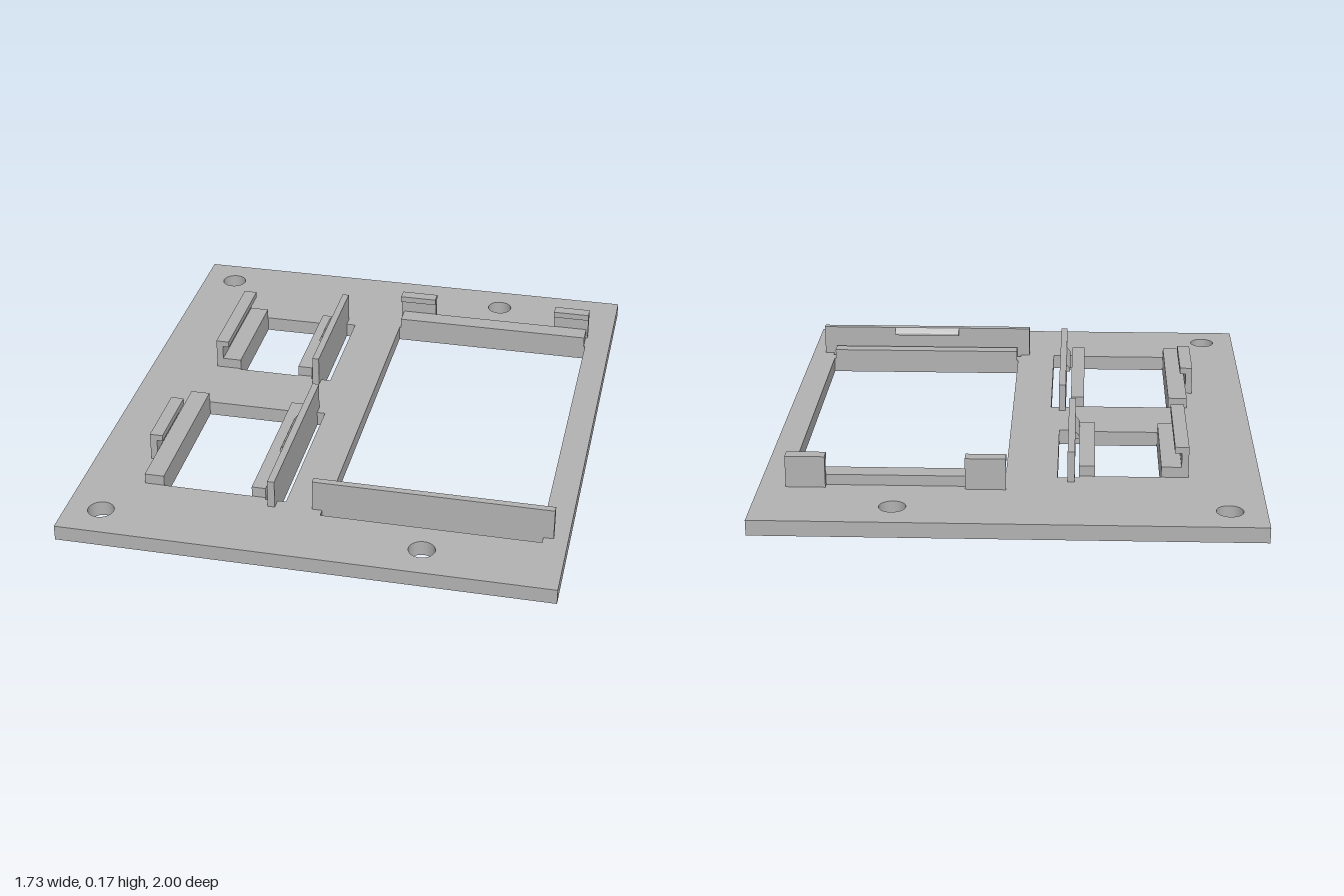
import * as THREE from 'three';

const T = 0.055; // plate thickness

export function createModel() {
  const group = new THREE.Group();
  const grey = new THREE.MeshStandardMaterial({ color: 0xb2b2b2 });
  grey.name = 'grey plastic';

  const add = (name, geometry) => {
    const mesh = new THREE.Mesh(geometry, grey);
    mesh.name = name;
    group.add(mesh);
  };
  const box = (name, x0, x1, y0, y1, z0, z1) =>
    add(name, new THREE.BoxGeometry(x1 - x0, y1 - y0, z1 - z0)
      .translate((x0 + x1) / 2, (y0 + y1) / 2, (z0 + z1) / 2));

  // Profile of [u, y] points swept from a to b; u runs along x, or along z when alongX is set
  const sweep = (name, points, a, b, alongX) => {
    const shape = new THREE.Shape(points.map(([u, y]) => new THREE.Vector2(u, y)));
    const g = new THREE.ExtrudeGeometry(shape, { depth: b - a, bevelEnabled: false });
    if (alongX) g.rotateY(-Math.PI / 2).translate(b, 0, 0);
    else g.translate(0, 0, a);
    add(name, g);
  };

  // Fixed hook: upright stem with a lip reaching towards the window
  const hook = (name, u0, u1, top, a, b, alongX) => sweep(name, [
    [u0, T], [u0 + 0.025, T], [u0 + 0.025, top - 0.023], [u1, top - 0.023], [u1, top], [u0, top],
  ], a, b, alongX);

  // Latch: wedge near the top of a spring wall
  const latch = (name, wall, reach, top, a, b, alongX) => sweep(name, [
    [wall - reach, top - 0.028], [wall, top - 0.028], [wall, top],
    [wall - reach * 0.75, top - 0.012], [wall - reach, top - 0.02],
  ], a, b, alongX);

  // Base plate with windows, spring slots and screw holes
  const plate = new THREE.Shape([
    new THREE.Vector2(-0.865, -1), new THREE.Vector2(0.865, -1),
    new THREE.Vector2(0.865, 1), new THREE.Vector2(-0.865, 1),
  ]);
  const openings = [ // x0, x1, z0, z1
    [0.02, 0.77, -0.62, 0.62], [0.01, 0.78, 0.67, 0.745],
    [-0.57, -0.25, 0.1, 0.68], [-0.2, -0.125, 0.09, 0.69],
    [-0.52, -0.29, -0.585, -0.16], [-0.235, -0.16, -0.6, -0.15],
  ];
  for (const [x0, x1, z0, z1] of openings) {
    plate.holes.push(new THREE.Path([
      new THREE.Vector2(x0, -z0), new THREE.Vector2(x1, -z0),
      new THREE.Vector2(x1, -z1), new THREE.Vector2(x0, -z1),
    ]));
  }
  for (const x of [-0.74, 0.39]) {
    for (const z of [-0.87, 0.87]) {
      plate.holes.push(new THREE.Path().absarc(x, z, 0.046, 0, Math.PI * 2, true));
    }
  }
  add('basePlate', new THREE.ExtrudeGeometry(plate, { depth: T, bevelEnabled: false, curveSegments: 24 })
    .rotateX(-Math.PI / 2));

  // Large window: ledges, two hooks at the back, spring wall at the front
  box('largeBackLedge', 0.025, 0.765, T, 0.093, -0.69, -0.62);
  box('largeFrontLedge', 0.025, 0.765, T, 0.093, 0.62, 0.67);
  hook('largeHookRight', -0.715, -0.67, 0.168, 0.015, 0.155, true);
  hook('largeHookLeft', -0.715, -0.67, 0.168, 0.635, 0.772, true);
  box('largeSpringWall', -0.025, 0.815, T, 0.168, 0.69, 0.715);
  box('largeSpringRoot', 0.01, 0.78, 0, T, 0.69, 0.715);
  latch('largeLatch', 0.69, 0.017, 0.168, 0.265, 0.525, true);

  // Front small window
  box('frontOuterLedge', -0.64, -0.57, T, 0.093, 0.1, 0.68);
  box('frontInnerLedge', -0.25, -0.2, T, 0.093, 0.1, 0.68);
  hook('frontHook', -0.667, -0.62, 0.158, 0.26, 0.523);
  box('frontSpringWall', -0.18, -0.155, T, 0.158, 0.055, 0.73);
  box('frontSpringRoot', -0.18, -0.155, 0, T, 0.09, 0.69);
  latch('frontLatch', -0.18, 0.015, 0.158, 0.285, 0.495);

  // Rear small window
  box('rearOuterLedge', -0.59, -0.52, T, 0.093, -0.585, -0.165);
  box('rearInnerLedge', -0.29, -0.235, T, 0.093, -0.585, -0.165);
  hook('rearHook', -0.615, -0.566, 0.168, -0.585, -0.165);
  box('rearSpringWall', -0.22, -0.195, T, 0.168, -0.64, -0.11);
  box('rearSpringRoot', -0.22, -0.195, 0, T, -0.6, -0.15);
  latch('rearLatch', -0.22, 0.015, 0.168, -0.45, -0.295);

  return group;
}
